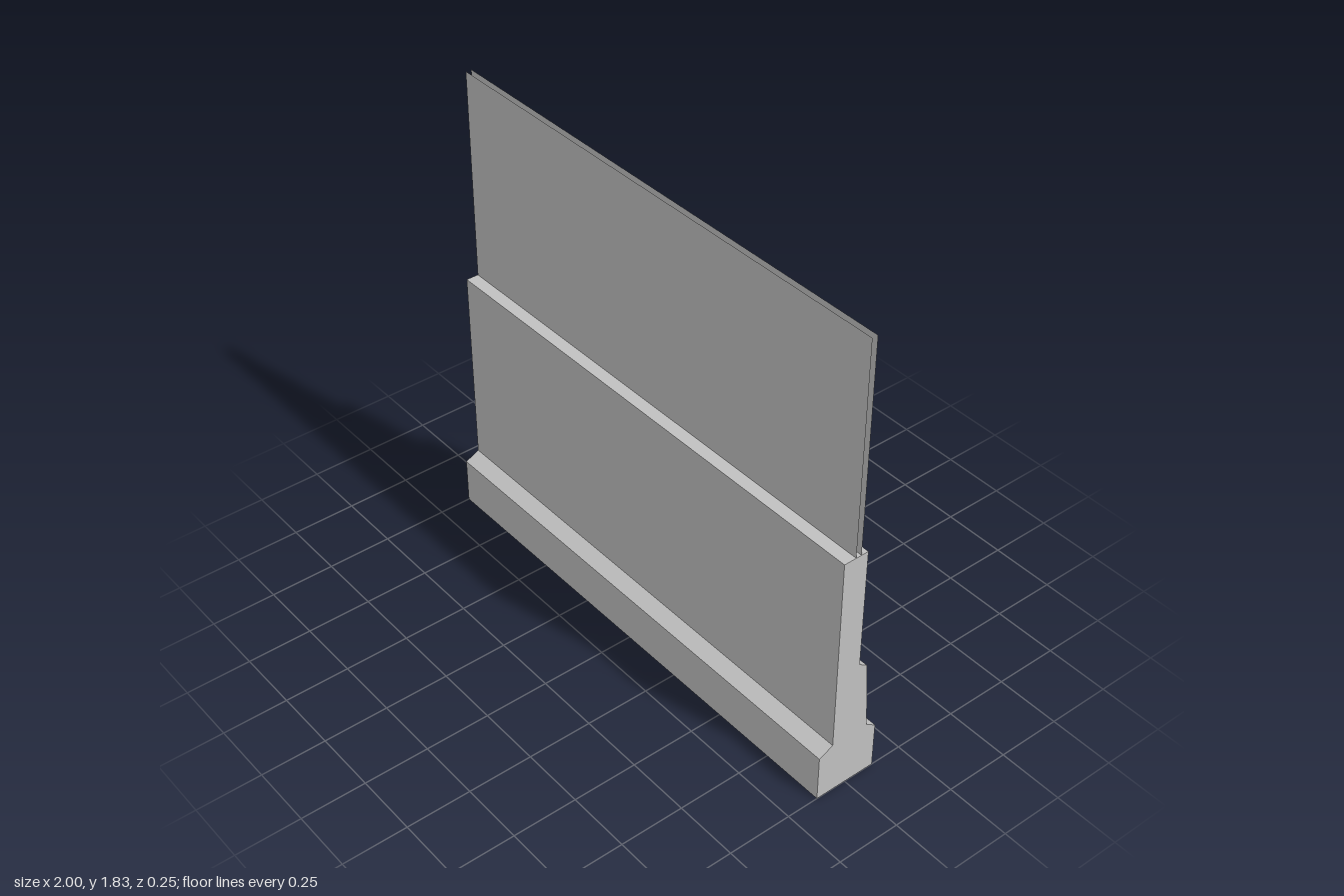
import * as THREE from 'three';

// Flat faces spanning x = -1..1 along a list of [z, y] points.
function strip(points) {
  const pos = [];
  for (let i = 0; i + 1 < points.length; i++) {
    const [z0, y0] = points[i];
    const [z1, y1] = points[i + 1];
    pos.push(-1, y0, z0, 1, y0, z0, 1, y1, z1);
    pos.push(-1, y0, z0, 1, y1, z1, -1, y1, z1);
  }
  const geo = new THREE.BufferGeometry();
  geo.setAttribute('position', new THREE.Float32BufferAttribute(pos, 3));
  geo.computeVertexNormals();
  return geo;
}

export function createModel() {
  const group = new THREE.Group();
  group.name = 'barrierWall';
  const concrete = new THREE.MeshStandardMaterial({ color: 0xc0c0c0, side: THREE.DoubleSide });
  concrete.name = 'concrete grey';

  const add = (name, geo) => {
    const mesh = new THREE.Mesh(geo, concrete);
    mesh.name = name;
    group.add(mesh);
    return mesh;
  };

  // Barrier cross-section [z, y], from front foot over the top to back foot; open below
  const profile = [
    [0.124, 0], [0.124, 0.186], [0.067, 0.213], [0.07, 1],
    [-0.03, 1], [-0.03, 0.52], [-0.064, 0.496], [-0.085, 0.213],
    [-0.125, 0.186], [-0.125, 0],
  ];
  add('barrierShell', strip(profile));

  // End caps
  for (const side of [1, -1]) {
    const shape = new THREE.Shape(profile.map(([z, y]) => new THREE.Vector2(-side * z, y)));
    const cap = add(side > 0 ? 'leftEnd' : 'rightEnd', new THREE.ShapeGeometry(shape));
    cap.rotation.y = side * Math.PI / 2;
    cap.position.x = side;
  }

  // Screen panel: two sheets from the ground up through the barrier, open at the edges
  const top = 1.828;
  add('screenFront', strip([[0.021, 0], [0.021, top]]));
  add('screenBack', strip([[-0.001, top], [-0.001, 0]]));

  return group;
}
